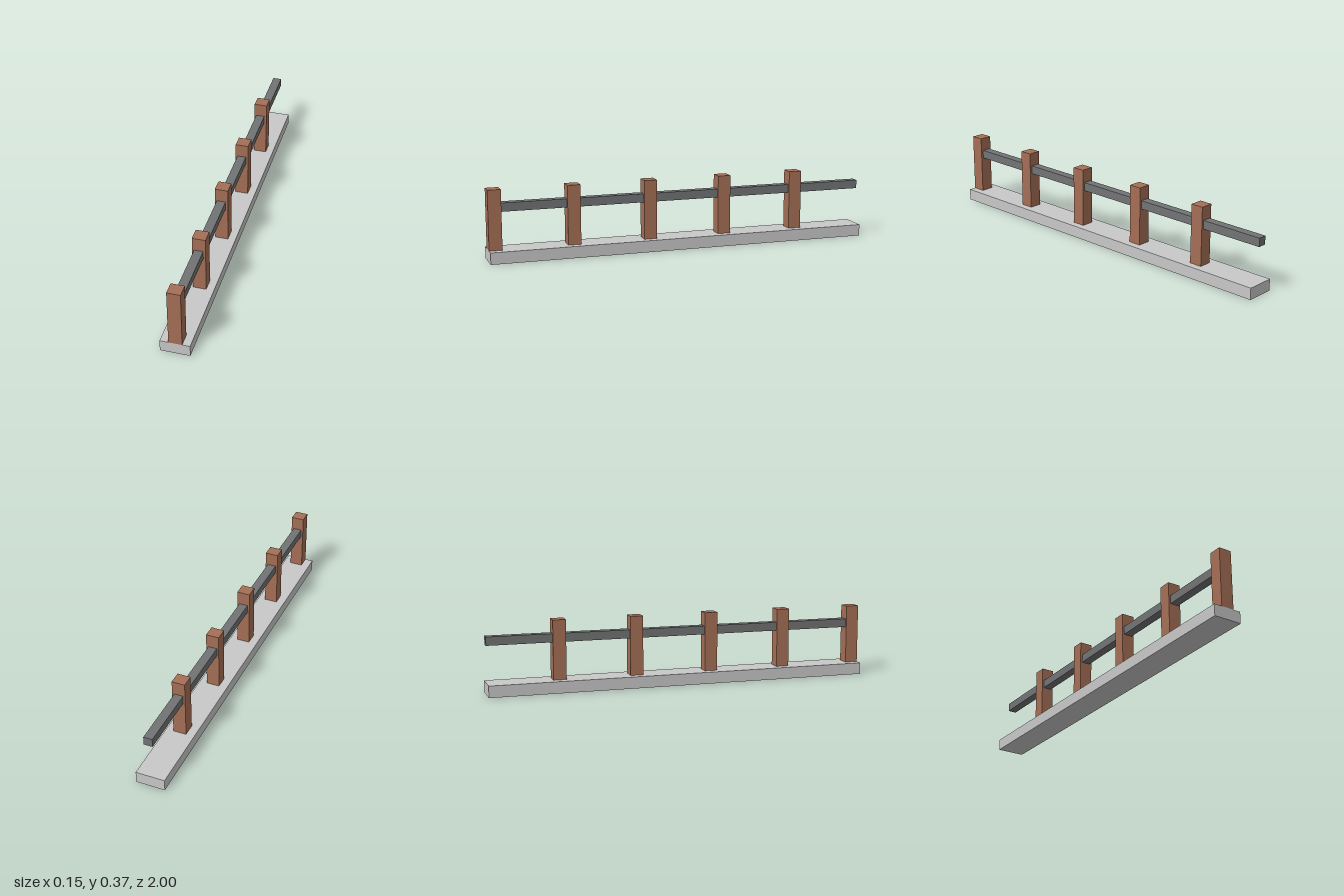
import * as THREE from 'three';

export function createModel() {
  const group = new THREE.Group();
  const stone = new THREE.MeshStandardMaterial({ name: 'paleStone', color: 0xc8c8c8 });
  const wood = new THREE.MeshStandardMaterial({ name: 'brownWood', color: 0xa56f56 });
  const metal = new THREE.MeshStandardMaterial({ name: 'greyMetal', color: 0x727374 });

  // Box spanning y0..y1 and z0..z1, centred at x
  function box(name, material, width, x, y0, y1, z0, z1) {
    const mesh = new THREE.Mesh(new THREE.BoxGeometry(width, y1 - y0, z1 - z0), material);
    mesh.name = name;
    mesh.position.set(x, (y0 + y1) / 2, (z0 + z1) / 2);
    group.add(mesh);
  }

  // Kerb along the whole length
  box('base', stone, 0.148, 0, 0, 0.06, -1, 1);

  // Each bay: a post at its front end and a rail running back to the next post
  const bays = 5, bayLength = 2 / bays, postSize = 0.067;
  for (let i = 0; i < bays; i++) {
    const front = 1 - i * bayLength;
    box('post' + (i + 1), wood, postSize, 0.002, 0.06, 0.365, front - postSize, front);
    box('rail' + (i + 1), metal, 0.045, 0.001, 0.251, 0.295, front - bayLength, front - postSize);
  }
  return group;
}
